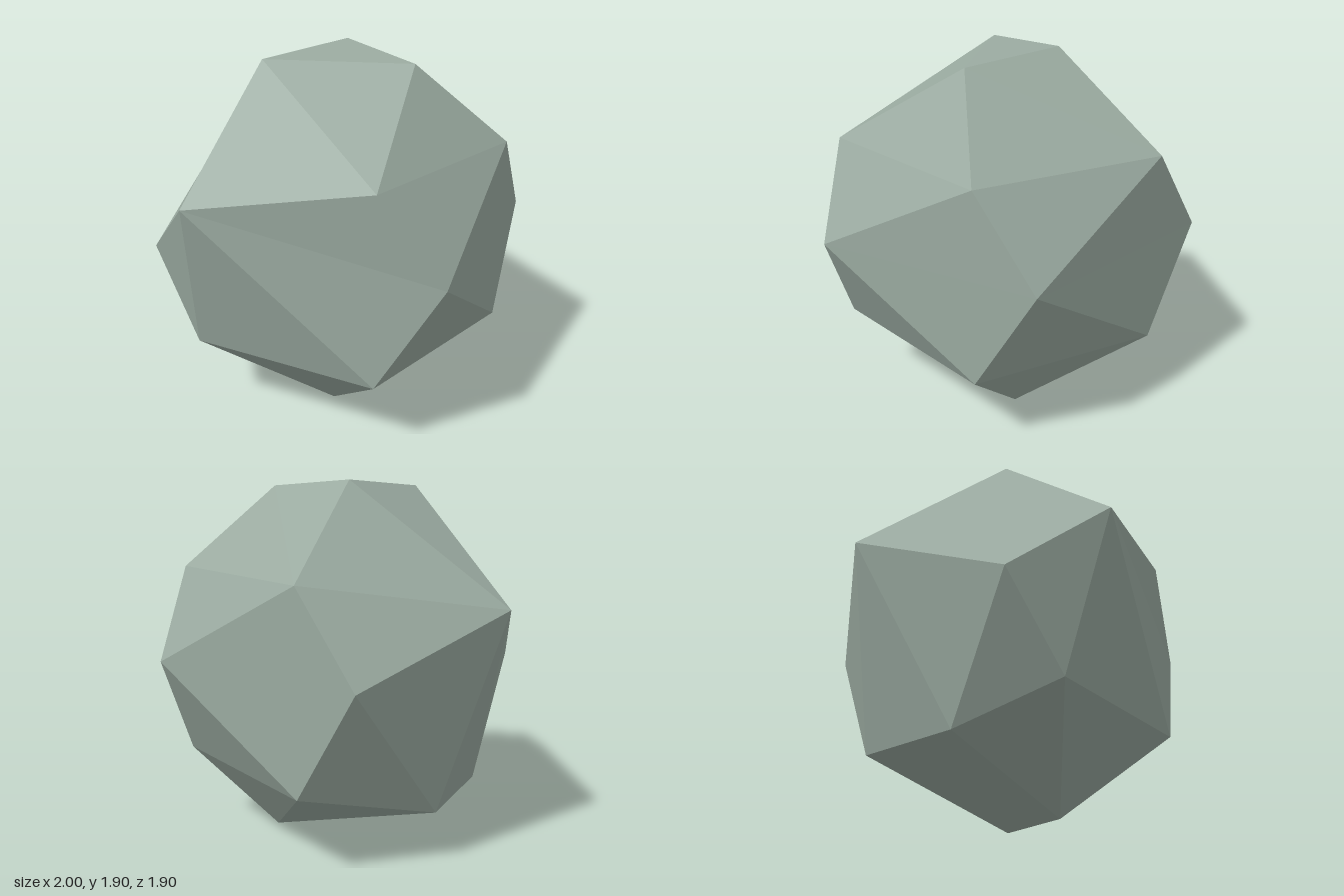
import * as THREE from 'three';

// Corner points of the faceted boulder, from the crown down to the base
const corners = {
  // crown
  A: [-0.4, 1.87, 0], B: [0.32, 1.87, 0.235], C: [0.08, 1.905, -0.26],
  // shoulder ring
  D: [0, 1.455, 0.85], E: [-0.85, 1.3, 0.5], F: [0.81, 1.455, 0.26],
  I: [0.5, 1.455, -0.69], K: [-0.56, 1.296, -0.76],
  // waist ring
  G: [0.31, 1.005, 0.95], H: [1, 1.005, 0], J: [0.31, 1.005, -0.95], L: [-1, 0.9, 0],
  // lower ring
  M: [0, 0.45, 0.85], N: [0.81, 0.45, 0.26], O: [-0.81, 0.45, 0.26],
  P: [0.5, 0.45, -0.69], R: [-0.675, 0.257, -0.24], S: [-0.22, 0.285, -0.69],
  // base
  Q: [0.4, 0.04, 0], T: [-0.09, 0, 0.26],
};

// Each fan: a hub corner followed by the corners around it
const fans = [
  'KACIJSRLEA', 'ELOMGDA', 'BADFICA', 'HFGNPJIF', 'QPNMTSP', 'OMTRL',
  'DFG', 'GMN', 'JPS', 'TSR',
];

function facetedGeometry() {
  const centre = new THREE.Vector3(0, 0.95, 0);
  const positions = [];
  for (const fan of fans) {
    const [hub, ...rim] = [...fan].map((name) => new THREE.Vector3(...corners[name]));
    for (let i = 0; i + 1 < rim.length; i++) {
      const facet = new THREE.Triangle(hub, rim[i], rim[i + 1]);
      const outward = facet.getNormal(new THREE.Vector3()).dot(hub.clone().sub(centre)) > 0;
      const order = outward ? [hub, rim[i], rim[i + 1]] : [hub, rim[i + 1], rim[i]];
      order.forEach((p) => positions.push(p.x, p.y, p.z));
    }
  }
  const geometry = new THREE.BufferGeometry();
  geometry.setAttribute('position', new THREE.Float32BufferAttribute(positions, 3));
  geometry.computeVertexNormals(); // unshared corners give flat facets
  return geometry;
}

export function createModel() {
  const stone = new THREE.MeshStandardMaterial({ color: 0x9aaaa0 });
  stone.name = 'greyGreenStone';

  const boulder = new THREE.Mesh(facetedGeometry(), stone);
  boulder.name = 'boulder';

  const model = new THREE.Group();
  model.name = 'rock';
  model.add(boulder);
  return model;
}
